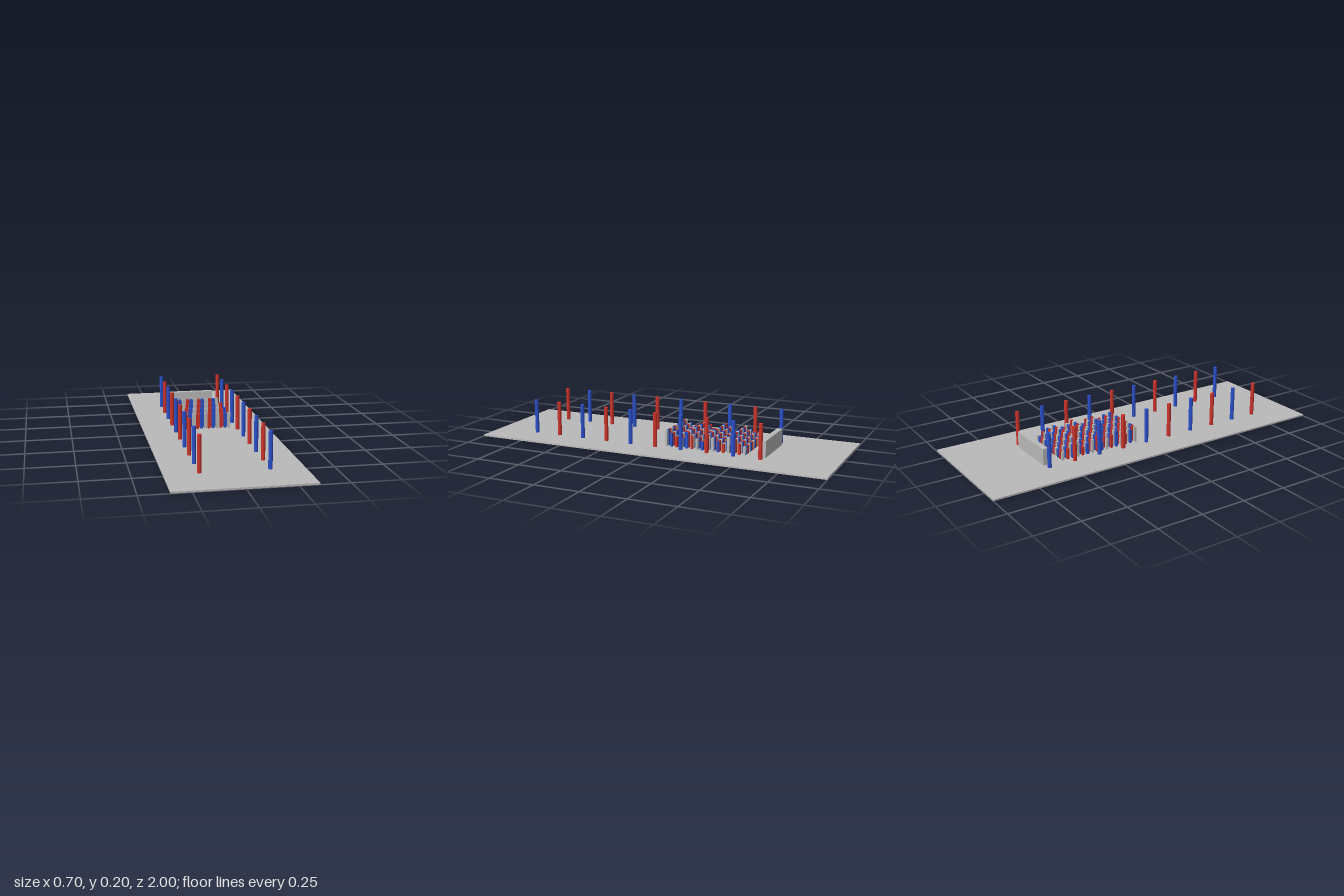
import * as THREE from 'three';

const material = (name, color) => {
  const m = new THREE.MeshStandardMaterial({ color });
  m.name = name;
  return m;
};

export function createModel() {
  const grey = material('grey', 0xbababa);
  const red = material('red', 0xcc332a);
  const blue = material('blue', 0x2a50cc);
  const model = new THREE.Group();
  const floor = 0.009; // top of the base slab

  const add = (parent, name, geometry, mat, x, y, z) => {
    const mesh = new THREE.Mesh(geometry, mat);
    mesh.name = name;
    mesh.position.set(x, y, z);
    parent.add(mesh);
  };

  // Base slab and the low wall at the back
  add(model, 'base', new THREE.BoxGeometry(0.7, floor, 2), grey, 0, floor / 2, 0);
  const wallHeight = 0.1 - floor;
  add(model, 'backWall', new THREE.BoxGeometry(0.283, wallHeight, 0.03), grey, 0, floor + wallHeight / 2, -0.603);

  // Two rows of round posts in alternating colours
  const posts = new THREE.Group();
  posts.name = 'posts';
  const postHeight = 0.2 - floor;
  const postGeometry = new THREE.CylinderGeometry(0.011, 0.011, postHeight, 16);
  for (let i = 0; i < 10; i++) {
    for (const side of [-1, 1]) {
      const isRed = (i % 2 === 0) === (side === 1);
      add(posts, 'post', postGeometry, isRed ? red : blue, side * 0.175, floor + postHeight / 2, -0.6 + i * 0.15);
    }
  }
  model.add(posts);

  // Block of small bars: height steps down over every four rows, colours run diagonally
  const bars = new THREE.Group();
  bars.name = 'bars';
  const colours = [grey, red, blue];
  const barGeometries = [0.096, 0.082, 0.068, 0.055].map(
    (top) => new THREE.BoxGeometry(0.015, top - floor, 0.013));
  for (let row = 0; row < 16; row++) {
    const geometry = barGeometries[row % 4];
    const y = floor + geometry.parameters.height / 2;
    for (let col = 0; col < 13; col++) {
      add(bars, 'bar', geometry, colours[(col + 2 * row) % 3], -0.135 + col * 0.0225, y, -0.05 - row * 0.03);
    }
  }
  model.add(bars);

  return model;
}
